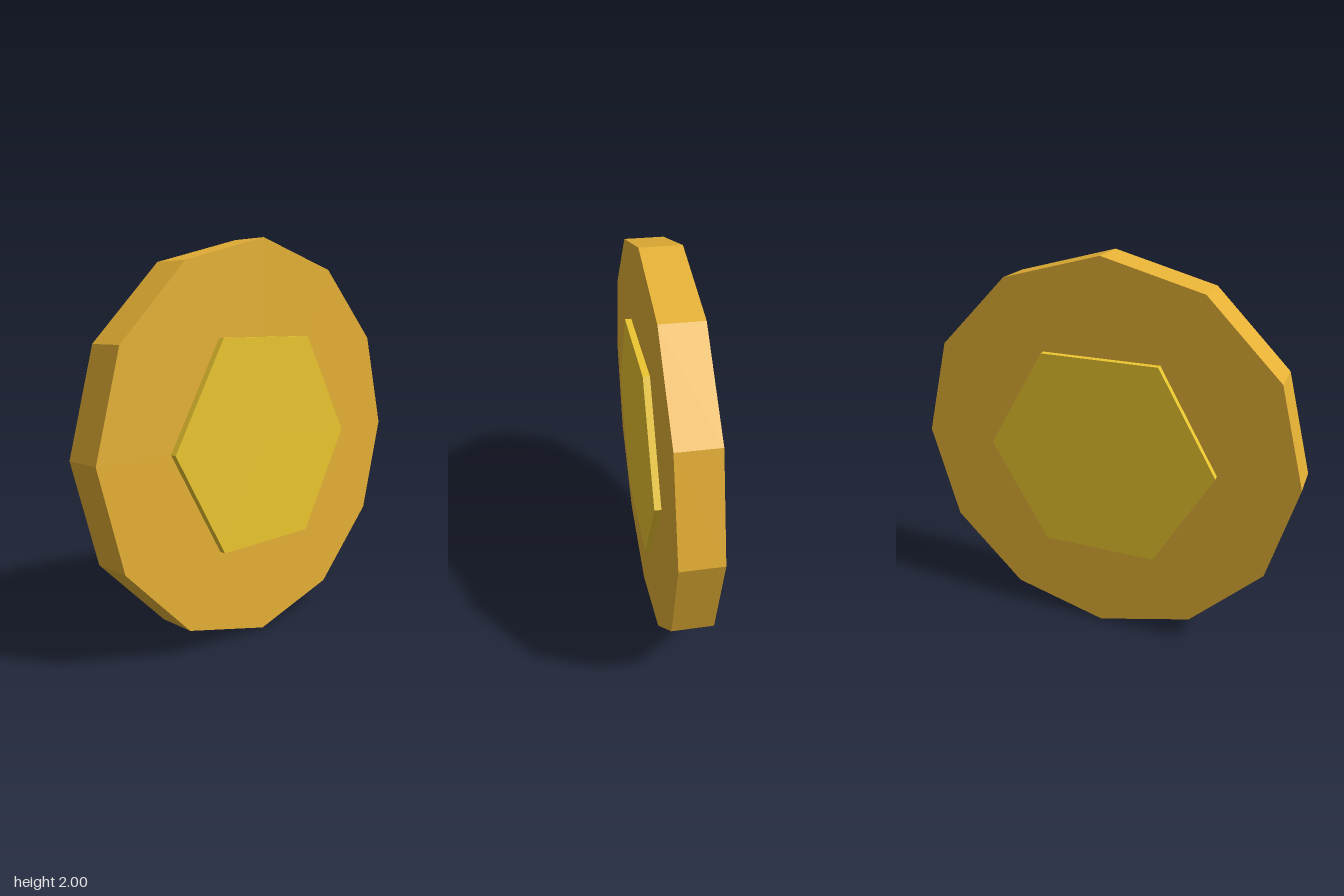
import * as THREE from 'three';

// Faceted disc facing +z with a corner on the +x axis
function disc(name, radius, depth, sides, color) {
  const geometry = new THREE.CylinderGeometry(radius, radius, depth, sides, 1, false, Math.PI / 2);
  geometry.rotateX(Math.PI / 2);
  const mesh = new THREE.Mesh(geometry, new THREE.MeshStandardMaterial({ color, flatShading: true }));
  mesh.name = name;
  mesh.position.y = 1;
  return mesh;
}

export function createModel() {
  const coin = new THREE.Group();
  coin.name = 'coin';

  // Twelve-sided body
  coin.add(disc('coinBody', 1, 0.2, 12, 0xe5b035));

  // Hexagonal core, standing slightly proud of both faces
  coin.add(disc('hexagonInlay', 0.6, 0.265, 6, 0xebc62f));

  return coin;
}
